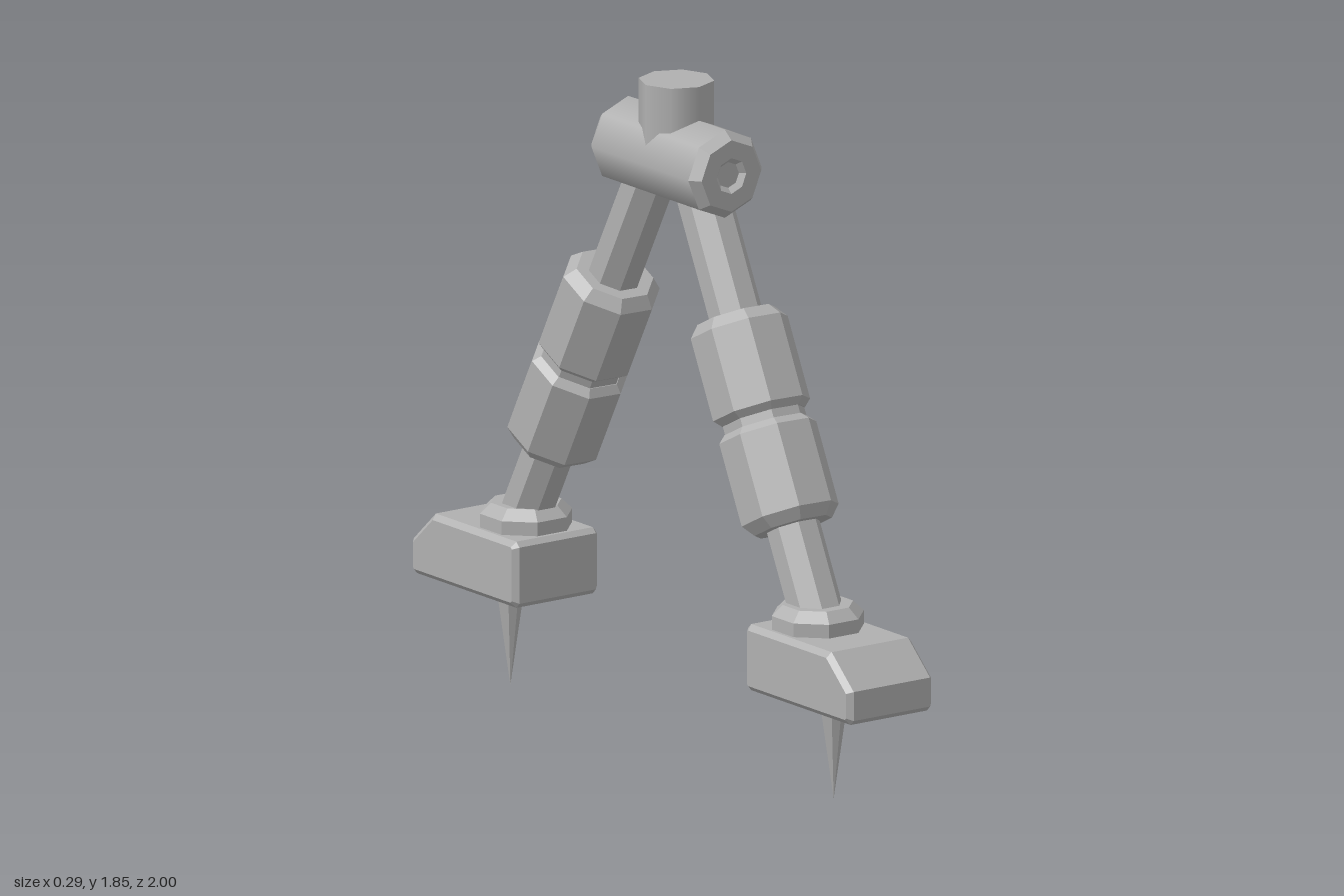
import * as THREE from 'three';

const grey = new THREE.MeshStandardMaterial({ color: 0xb0b0b0 });
grey.name = 'plain grey';

function add(parent, name, geometry, flat = true) {
  let g = geometry;
  if (flat) {
    g = g.index ? g.toNonIndexed() : g;
    g.computeVertexNormals();
  }
  const mesh = new THREE.Mesh(g, grey);
  mesh.name = name;
  parent.add(mesh);
  return mesh;
}

// Eight-sided turned part; profile is [radius, height] from bottom to top
function turned(profile, phi = 0) {
  return new THREE.LatheGeometry(profile.map(([r, y]) => new THREE.Vector2(r, y)), 8, phi);
}

const FLATS = Math.PI / 8;

// Foot block with a sloped toe and small chamfers all round
function footGeometry() {
  const c = 0.014, b = 0.015;
  const shape = new THREE.Shape([
    [0.52 + c, 0.28], [1 - c, 0.28], [1, 0.28 + c], [1, 0.375], [0.9, 0.465],
    [0.52 + c, 0.465], [0.52, 0.465 - c], [0.52, 0.28 + c],
  ].map(([x, y]) => new THREE.Vector2(x, y)));
  const depth = 0.286 - 2 * b;
  const g = new THREE.ExtrudeGeometry(shape, {
    depth, bevelEnabled: true, bevelSegments: 1, bevelThickness: b, bevelSize: b, bevelOffset: -b,
  });
  g.translate(0, 0, -depth / 2);
  g.rotateY(-Math.PI / 2);
  return g;
}

// One leg; side is +1 for front, -1 for back
function addLeg(parent, side) {
  const prefix = side > 0 ? 'front' : 'back';
  const leg = new THREE.Group();
  leg.name = prefix + 'Leg';
  parent.add(leg);

  // Tilted limb, built along its own axis from the middle joint
  const limb = new THREE.Group();
  limb.name = prefix + 'Limb';
  limb.position.set(0.007, 0.984, 0.412 * side);
  limb.quaternion.setFromUnitVectors(new THREE.Vector3(0, 1, 0),
    new THREE.Vector3(0.016, 0.889, -0.459 * side).normalize());
  leg.add(limb);
  add(limb, 'legRod', turned([[0, -0.55], [0.075, -0.55], [0.075, 0.66], [0, 0.66]], FLATS));
  add(limb, 'upperSleeve', turned([
    [0, 0.012], [0.118, 0.012], [0.138, 0.032], [0.138, 0.265], [0.11, 0.298], [0, 0.298]], FLATS));
  add(limb, 'lowerSleeve', turned([
    [0, -0.298], [0.11, -0.298], [0.138, -0.265], [0.138, -0.032], [0.118, -0.012], [0, -0.012]], FLATS));
  add(limb, 'middleJoint', turned([[0.116, -0.014], [0.116, 0.014]], FLATS));

  // Foot, ankle collar and ground spike
  const foot = new THREE.Group();
  foot.name = prefix + 'Foot';
  foot.rotation.y = side > 0 ? 0 : Math.PI;
  leg.add(foot);
  add(foot, 'footBlock', footGeometry());
  const collar = add(foot, 'ankleCollar', turned([
    [0.128, 0.455], [0.128, 0.503], [0.098, 0.532], [0, 0.532]], FLATS));
  collar.position.z = 0.663;
  const spike = add(foot, 'spike', turned([[0, 0], [0.04, 0.285], [0, 0.285]]));
  spike.position.z = 0.735;
}

export function createModel() {
  const model = new THREE.Group();
  model.name = 'jointedLegPair';

  // Hip: horizontal barrel with an upright stub
  const hip = new THREE.Group();
  hip.name = 'hip';
  hip.position.set(0.015, 1.633, 0);
  model.add(hip);
  const barrel = add(hip, 'barrel', new THREE.CylinderGeometry(0.123, 0.123, 0.44, 8, 1, true), false);
  barrel.rotation.x = Math.PI / 2;
  for (const side of [1, -1]) {
    // Chamfered end with a recessed socket
    const cap = add(hip, side > 0 ? 'frontCap' : 'backCap', turned([
      [0.123, 0.22], [0.1, 0.25], [0.05, 0.25], [0.036, 0.235], [0, 0.235]]));
    cap.rotation.x = side * Math.PI / 2;
  }
  const stub = add(hip, 'topStub', new THREE.CylinderGeometry(0.103, 0.103, 0.217, 8), false);
  stub.position.y = 0.1085;

  for (const side of [1, -1]) addLeg(model, side);
  return model;
}
